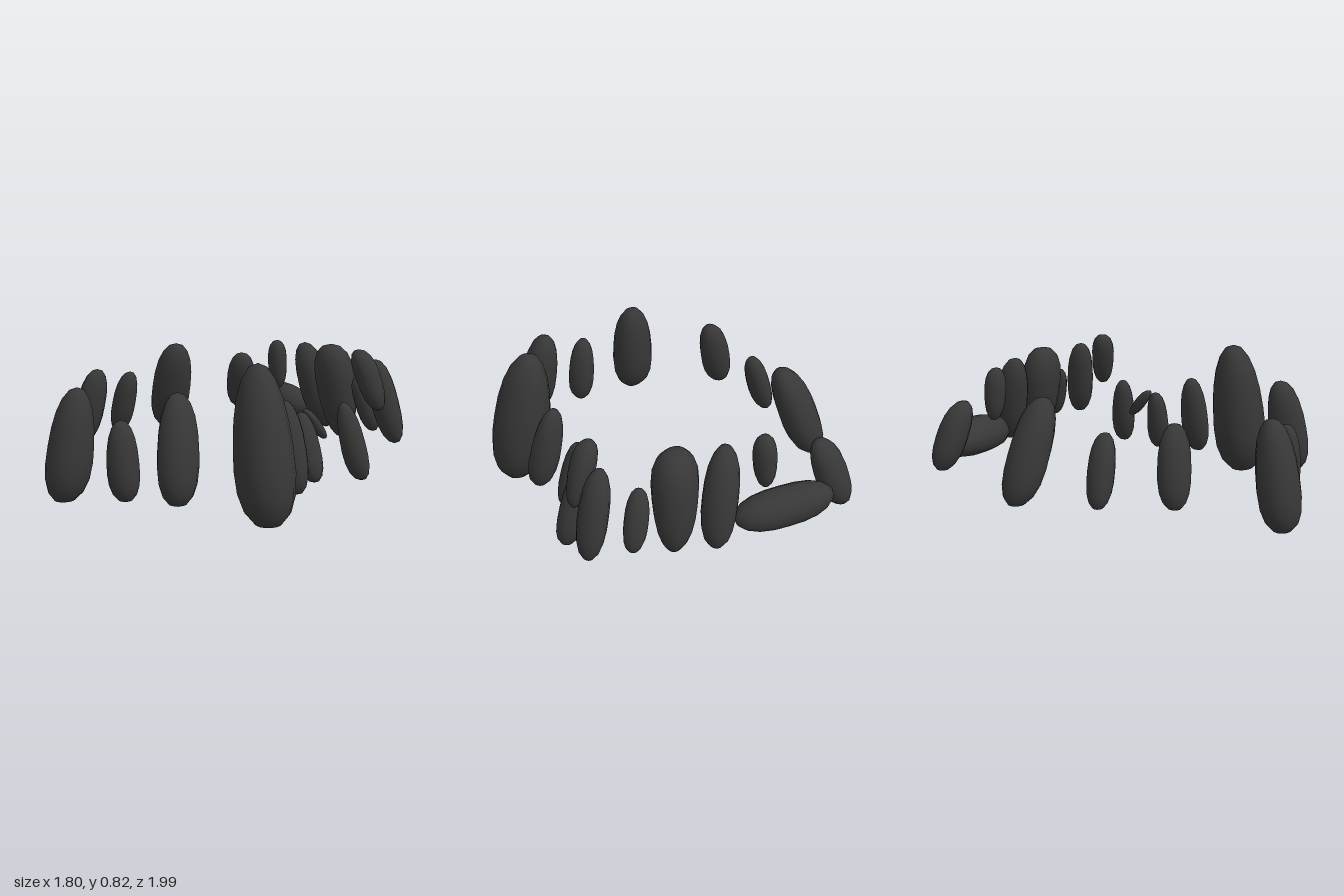
import * as THREE from 'three';
import { mergeVertices } from 'three/addons/utils/BufferGeometryUtils.js';

const stoneGrey = new THREE.MeshStandardMaterial({ color: 0x383838 });
stoneGrey.name = 'stone grey';

// Centre, height and width of each stone; lean and taper only where a stone breaks the rule
const STONES = [
  { name: 'backRightCornerStone', x: -0.68, y: 0.47, z: -0.8, height: 0.38, width: 0.18 },
  { name: 'rightLeaningStone', x: -0.73, y: 0.485, z: -0.26, height: 0.55, width: 0.23, lean: [0.19, 0.06] },
  { name: 'rightSmallStone', x: -0.67, y: 0.43, z: 0.14, height: 0.38, width: 0.14 },
  { name: 'frontRightStone', x: -0.52, y: 0.465, z: 0.48, height: 0.43, width: 0.17 },
  { name: 'frontStone', x: -0.115, y: 0.355, z: 0.87, height: 0.61, width: 0.24 },
  { name: 'frontSmallStone', x: 0.24, y: 0.32, z: 0.78, height: 0.42, width: 0.16, lean: [-0.03, 0] },
  { name: 'frontLeftStone', x: 0.535, y: 0.415, z: 0.66, height: 0.55, width: 0.21 },
  { name: 'largeLeftStone', x: 0.72, y: 0.41, z: 0.265, height: 0.82, width: 0.31 },
  { name: 'leftMiddleStone', x: 0.645, y: 0.355, z: 0.01, height: 0.49, width: 0.17 },
  { name: 'leftSmallStone', x: 0.56, y: 0.31, z: -0.205, height: 0.38, width: 0.13 },
  { name: 'leftThinStone', x: 0.515, y: 0.42, z: -0.3, height: 0.18, width: 0.08, lean: [-0.02, 0.13] },
  { name: 'leftLowStone', x: 0.625, y: 0.315, z: -0.485, height: 0.43, width: 0.14 },
  { name: 'leftHighStone', x: 0.605, y: 0.64, z: -0.625, height: 0.34, width: 0.14 },
  { name: 'backLeftCornerStone', x: 0.59, y: 0.5, z: -0.785, height: 0.48, width: 0.16 },
  { name: 'backSmallStone', x: 0.39, y: 0.45, z: -0.835, height: 0.32, width: 0.12 },
  { name: 'backTopHeavyStone', x: 0.18, y: 0.505, z: -0.815, height: 0.57, width: 0.23, taper: -0.4 },
  { name: 'backMiddleStone', x: -0.045, y: 0.51, z: -0.86, height: 0.53, width: 0.19, lean: [-0.08, 0.12] },
  { name: 'lyingStone', x: -0.39, y: 0.375, z: -0.875, height: 0.54, width: 0.22, lean: [0.04, 0], taper: 0, lying: true },
  { name: 'perchedStone', x: -0.31, y: 0.615, z: -0.785, height: 0.31, width: 0.12, lean: [0.01, 0.02] },
];

// A sphere drawn out into a slightly lumpy, tapering, leaning pillar.
// By default stones lean toward the middle of the ring, and lower ones taper more.
function makeStone({ name, x, y, z, height, width, lean = [-0.16 * x, -0.1 * z],
  taper = 0.4 - 1.3 * (y - height / 2), lying = false }, seed) {
  const sphere = new THREE.SphereGeometry(1, 14, 10);
  sphere.deleteAttribute('normal');
  sphere.deleteAttribute('uv');
  const geometry = mergeVertices(sphere);
  const points = geometry.attributes.position;
  for (let i = 0; i < points.count; i++) {
    const v = points.getY(i);
    const angle = Math.atan2(points.getZ(i), points.getX(i));
    const round = Math.pow(Math.max(0, 1 - Math.abs(v) ** 2.6), 1 / 2.2);
    const lump = 1 + 0.035 * Math.sin(2 * angle + seed * 1.7) + 0.035 * Math.sin(3 * angle + seed * 2.3 + v);
    const radius = (width / 2) * round * lump * (1 - (taper * v) / 2);
    points.setXYZ(
      i,
      radius * Math.cos(angle) + (lean[0] * v) / 2,
      (height * v) / 2,
      radius * Math.sin(angle) + (lean[1] * v) / 2,
    );
  }
  geometry.computeVertexNormals();

  const mesh = new THREE.Mesh(geometry, stoneGrey);
  mesh.name = name;
  mesh.position.set(x, y, z);
  if (lying) mesh.rotation.z = -Math.PI / 2;
  return mesh;
}

export function createModel() {
  const ring = new THREE.Group();
  ring.name = 'stoneRing';
  STONES.forEach((stone, i) => ring.add(makeStone(stone, i + 1)));
  return ring;
}
